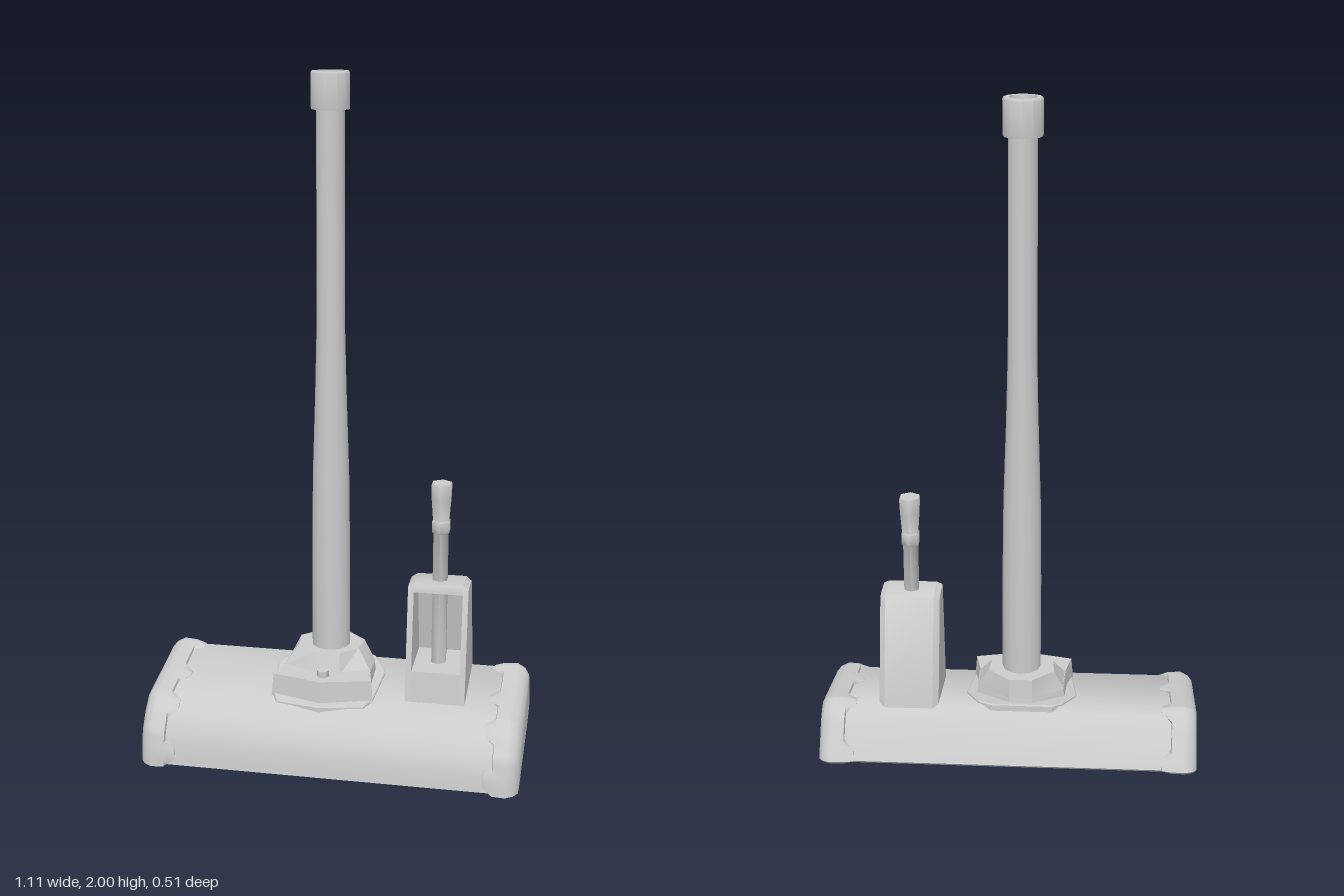
import * as THREE from 'three';
import { toCreasedNormals } from 'three/addons/utils/BufferGeometryUtils.js';

const grey = new THREE.MeshStandardMaterial({ color: 0xcccccc });
const hollow = new THREE.MeshStandardMaterial({ color: 0xcccccc, side: THREE.DoubleSide });

// Closed skin through equal-length loops of [x, y, z], with both ends filled
function loft(loops, crease) {
  const pos = [], n = loops[0].length;
  const tri = (...p) => p.forEach(q => pos.push(...q));
  const mid = l => [0, 1, 2].map(k => l.reduce((s, p) => s + p[k], 0) / n);
  const last = loops[loops.length - 1], m0 = mid(loops[0]), m1 = mid(last);
  for (let j = 0; j < n; j++) {
    const k = (j + 1) % n;
    for (let i = 0; i < loops.length - 1; i++) {
      const a = loops[i], b = loops[i + 1];
      tri(a[j], a[k], b[k]);
      tri(a[j], b[k], b[j]);
    }
    tri(m0, loops[0][k], loops[0][j]);
    tri(m1, last[j], last[k]);
  }
  const g = new THREE.BufferGeometry();
  g.setAttribute('position', new THREE.Float32BufferAttribute(pos, 3));
  return toCreasedNormals(g, crease);
}

// Side profile of the head as [z, y]: top back, front, underside, back
const PROFILE = [[-0.14, 0.25], [0.16, 0.203], [0.203, 0.165], [0.24, 0.115],
  [0.253, 0.06], [0.258, 0.012], [0.2, 0.005], [-0.167, 0.06], [-0.235, 0.083], [-0.255, 0.1],
  [-0.247, 0.115], [-0.19, 0.21], [-0.165, 0.235]];
const floorY = z => 0.035 - 0.15 * z;
const deckY = z => 0.214 - 0.155 * z;

// Profile refined to a given spacing and shrunk towards the tilted underside
function profile(s, spacing, lift = 0) {
  const out = [];
  PROFILE.forEach(([z, y], i) => {
    const [z2, y2] = PROFILE[(i + 1) % PROFILE.length];
    const steps = Math.max(1, Math.round(Math.hypot(z2 - z, y2 - y) / spacing));
    for (let t = 0; t < steps; t++) {
      const pz = z + (z2 - z) * t / steps, py = y + (y2 - y) * t / steps;
      out.push([pz * s, floorY(pz * s) + (py - floorY(pz)) * s + lift]);
    }
  });
  return out;
}
const atX = (pts, x) => pts.map(([z, y], i) => [typeof x === 'function' ? x(i) : x, y, z]);

// End cap whose toothed inner rim slopes down onto the head
const TEETH = [[-0.247, 0.115], [-0.14, 0.25], [0.04, 0.222], [0.185, 0.182], [0.252, 0.05]];
function endCap(side) {
  const step = 0.015, full = profile(1, step);
  const rim = i => {
    const d = Math.min(...TEETH.map(([z, y]) => Math.hypot(full[i][0] - z, full[i][1] - y)));
    return side * (0.452 + 0.028 * THREE.MathUtils.clamp((d - 0.02) / 0.018, 0, 1));
  };
  const loops = [atX(profile(0.92, step, 0.006), rim), atX(profile(0.955, step), rim),
    atX(profile(0.99, step), side * 0.482), atX(full, side * 0.52),
    atX(profile(0.95, step), side * 0.543), atX(profile(0.88, step), side * 0.555)];
  return loft(side > 0 ? loops : loops.reverse(), 0.95);
}

// Outlines of the pole mount as [x, z], front first then towards +x
const FLANGE = [[-0.035, 0.163], [0.093, 0.142], [0.115, 0.1], [0.13, -0.047], [0.09, -0.125], [0.05, -0.15],
  [-0.13, -0.15], [-0.16, -0.125], [-0.2, -0.05], [-0.185, 0.1], [-0.165, 0.145]];
const BLOCK = [[-0.035, 0.146], [0.117, 0.11], [0.1, 0.03], [0.1, -0.056], [0, -0.133], [-0.07, -0.133],
  [-0.165, -0.07], [-0.17, 0.03], [-0.187, 0.11]];
const NECK_LOW = [[-0.035, 0.072], [0.01, 0.068], [0.097, 0.03], [0.097, -0.056], [0, -0.133], [-0.07, -0.133],
  [-0.162, -0.07], [-0.166, 0.03], [-0.08, 0.068]];
const NECK_TOP = [[-0.035, 0.05], [0.005, 0.045], [0.055, -0.005], [0.062, -0.07], [0, -0.128], [-0.07, -0.128],
  [-0.133, -0.07], [-0.127, -0.005], [-0.075, 0.045]];
const atY = (pts, y, s = 1) => pts.map(([x, z]) => {
  const px = -0.035 + (x + 0.035) * s, pz = z * s;
  return [px, typeof y === 'function' ? y(pz) : y, pz];
});

// Slice of the holder, open at the front when it is part of the deep pocket
function holderSlice(x0, x1, open) {
  const pts = [[-0.153, 0.2], [0.089, 0.19]];
  if (open) pts.push([0.074, 0.295], [-0.1, 0.295], [-0.05, 0.53], [0.043, 0.53]);
  pts.push([0.041, 0.545], [0.035, 0.555], [-0.05, 0.555], [-0.066, 0.545], [-0.146, 0.25]);
  const g = new THREE.ExtrudeGeometry(new THREE.Shape(pts.map(p => new THREE.Vector2(...p))),
    { depth: x1 - x0, bevelEnabled: false });
  g.rotateY(-Math.PI / 2).translate(x1, 0, 0);
  // soften the outer back and top corners
  const p = g.attributes.position;
  for (let i = 0; i < p.count; i++) {
    if (Math.abs(p.getX(i) - 0.295) < 0.08) continue;
    if (p.getZ(i) < 0) p.setZ(i, p.getZ(i) + 0.012);
    if (p.getY(i) > 0.54) p.setY(i, p.getY(i) - 0.008);
  }
  return toCreasedNormals(g, 0.8);
}

function lathe(points, sides, crease, x, z) {
  const g = new THREE.LatheGeometry(points.map(p => new THREE.Vector2(...p)), sides);
  return toCreasedNormals(g, crease).translate(x, 0, z);
}

export function createModel() {
  const model = new THREE.Group();
  const add = (name, geometry, parent = model, material = grey) => {
    const mesh = new THREE.Mesh(geometry, material);
    mesh.name = name;
    parent.add(mesh);
  };
  const group = name => {
    const g = new THREE.Group();
    g.name = name;
    model.add(g);
    return g;
  };

  // Wide head with a cap at each end
  const body = profile(0.94, 1, 0.001);
  add('headBody', loft([atX(body, -0.49), atX(body, 0.49)], 0.95));
  add('leftEndCap', endCap(1));
  add('rightEndCap', endCap(-1));

  // Faceted mount for the pole
  const mount = group('poleMount');
  add('mountFlange', loft([atY(FLANGE, z => deckY(z) - 0.03), atY(FLANGE, z => deckY(z) + 0.008),
    atY(FLANGE, z => deckY(z) + 0.012, 0.98)], 0.3), mount);
  add('mountBlock', loft([atY(BLOCK, z => deckY(z)), atY(BLOCK, 0.268, 0.96)], 0.3), mount);
  add('mountNeck', loft([atY(NECK_LOW, 0.262), atY(NECK_TOP, 0.32)], 0.3), mount);
  add('mountBolt', new THREE.CylinderGeometry(0.018, 0.018, 0.03, 6).rotateY(Math.PI / 6)
    .translate(-0.035, 0.271, 0.095), mount);

  // Long pole with a hollow collar at the top
  add('pole', lathe([[0.057, 0.3], [0.057, 0.6], [0.054, 0.85], [0.046, 1.1], [0.041, 1.3], [0.04, 1.92]],
    12, 0.7, -0.034, -0.034));
  add('poleCollar', lathe([[0.038, 1.898], [0.054, 1.898], [0.055, 1.905], [0.055, 1.995], [0.052, 2], [0.039, 2],
    [0.035, 1.97], [0.03, 1.9], [0, 1.88]], 12, 0.7, -0.034, -0.032), model, hollow);

  // Tapered holder with a deep pocket open to the front
  const holder = group('holder');
  add('holderRightWall', holderSlice(0.207, 0.224, false), holder);
  add('holderPocket', holderSlice(0.224, 0.367, true), holder);
  add('holderLeftWall', holderSlice(0.367, 0.383, false), holder);

  // Slim handle whose shaft runs down through the pocket
  add('handle', lathe([[0, 0.29], [0.024, 0.29], [0.024, 0.7], [0.029, 0.703], [0.029, 0.735], [0.026, 0.74],
    [0.031, 0.8], [0.033, 0.845], [0.031, 0.85], [0, 0.85]], 6, 1.1, 0.294, -0.013));

  return model;
}
